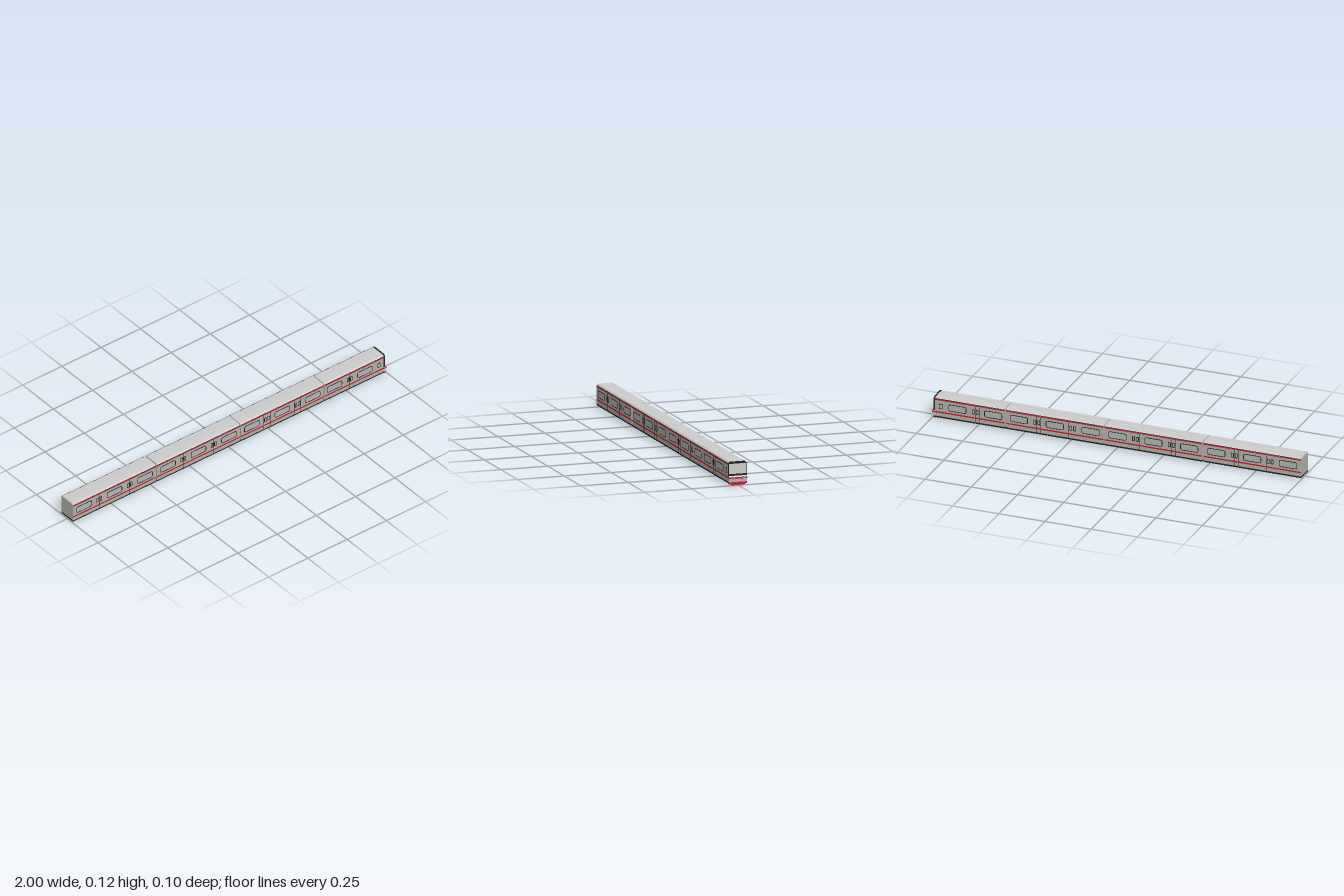
import * as THREE from 'three';

const material = (color) => new THREE.MeshStandardMaterial({ color, flatShading: true });
const grey = material(0xcccccc), wall = material(0xb4b1a8), glass = material(0xb4b6b4);
const dark = material(0x222222), red = material(0xcc1833);

function add(parent, name, geometry, mat) {
  const mesh = new THREE.Mesh(geometry, mat);
  mesh.name = name;
  parent.add(mesh);
  return mesh;
}

function box(parent, name, mat, x0, x1, y0, y1, z0, z1) {
  const mesh = add(parent, name, new THREE.BoxGeometry(x1 - x0, y1 - y0, z1 - z0), mat);
  mesh.position.set((x0 + x1) / 2, (y0 + y1) / 2, (z0 + z1) / 2);
  return mesh;
}

// Symmetric cross-section, given as half-outline [z, y] pairs, swept from x0 to x1
function section(parent, name, mat, half, x0, x1) {
  const outline = [...half, ...half.map(([z, y]) => [-z, y]).reverse()];
  const shape = new THREE.Shape(outline.map(([z, y]) => new THREE.Vector2(z, y)));
  const geo = new THREE.ExtrudeGeometry(shape, { depth: x1 - x0, bevelEnabled: false });
  geo.rotateY(Math.PI / 2).translate(x0, 0, 0);
  return add(parent, name, geo, mat);
}

// Side profile [x, y], swept across the width
function crossSweep(parent, name, mat, profile, width) {
  const shape = new THREE.Shape(profile.map(([x, y]) => new THREE.Vector2(x, y)));
  const geo = new THREE.ExtrudeGeometry(shape, { depth: width, bevelEnabled: false });
  return add(parent, name, geo.translate(0, 0, -width / 2), mat);
}

function roundedRect(w, h, r) {
  const s = new THREE.Shape(), a = w / 2, b = h / 2;
  s.moveTo(-a + r, -b).lineTo(a - r, -b).quadraticCurveTo(a, -b, a, -b + r);
  s.lineTo(a, b - r).quadraticCurveTo(a, b, a - r, b).lineTo(-a + r, b);
  s.quadraticCurveTo(-a, b, -a, b - r).lineTo(-a, -b + r).quadraticCurveTo(-a, -b, -a + r, -b);
  return s;
}

// Pane with a dark seal around it, on both side walls
function addWindow(parent, name, x, y, w, h, r) {
  const seal = roundedRect(w, h, r);
  seal.holes.push(roundedRect(w - 0.007, h - 0.007, r * 0.7));
  const options = { depth: 0.0008, bevelEnabled: false, curveSegments: 4 };
  for (const side of [1, -1]) {
    const group = new THREE.Group();
    group.name = name;
    group.position.set(x, y, side * 0.0475);
    if (side < 0) group.rotation.y = Math.PI;
    add(group, 'windowSeal', new THREE.ExtrudeGeometry(seal, options), dark);
    add(group, 'windowPane', new THREE.ShapeGeometry(roundedRect(w - 0.006, h - 0.006, r * 0.7), 4), glass)
      .position.z = 0.0004;
    parent.add(group);
  }
}

function carriage(name, x0, x1, windows, doors) {
  const car = new THREE.Group();
  car.name = name;
  section(car, 'body', wall, [[0.0475, 0.017], [0.0475, 0.111]], x0, x1);
  section(car, 'roof', grey, [[0.0475, 0.111], [0.04, 0.119], [0, 0.12]], x0, x1);
  section(car, 'underframe', dark, [[0.045, 0.008], [0.048, 0.011], [0.048, 0.017]], x0, x1);
  for (const s of [1, -1]) {
    const strip = (label, mat, y0, y1) => {
      box(car, label, mat, x0, x1, y0, y1, s * 0.0477 - 0.0004, s * 0.0477 + 0.0004);
    };
    strip('gutter', dark, 0.1105, 0.113);
    strip('upperStripe', red, 0.104, 0.1095);
    strip('lowerStripe', red, 0.036, 0.043);
    // Door leaf seams
    for (const d of doors) for (const dx of [-0.021, 0, 0.021]) {
      box(car, 'doorSeam', dark, x0 + d + dx - 0.0005, x0 + d + dx + 0.0005, 0.018, 0.103,
        s * 0.0476 - 0.0003, s * 0.0476 + 0.0003);
    }
  }
  for (const w of windows) addWindow(car, 'sideWindow', x0 + w, 0.072, 0.098, 0.038, 0.012);
  for (const d of doors) for (const dx of [-0.0105, 0.0105]) {
    addWindow(car, 'doorWindow', x0 + d + dx, 0.072, 0.015, 0.026, 0.003);
  }
  return car;
}

function cab() {
  const g = new THREE.Group();
  g.name = 'cab';
  // Dark surround with the windscreen set on its face
  section(g, 'cabSurround', dark,
    [[0.048, 0.046], [0.048, 0.111], [0.04, 0.12]], 0.98, 0.989);
  box(g, 'windscreen', grey, 0.988, 0.9905, 0.058, 0.11, -0.046, 0.046);
  // Lower nose, red bumper band and tapered skirt
  crossSweep(g, 'lowerNose', grey,
    [[0.975, 0.015], [0.99, 0.015], [0.996, 0.036], [0.99, 0.048], [0.975, 0.048]], 0.095);
  box(g, 'noseStripe', red, 0.978, 0.998, 0.034, 0.041, -0.048, 0.048);
  section(g, 'skirt', red, [[0.03, 0], [0.048, 0.007], [0.048, 0.016]], 0.981, 0.991);
  for (const z of [-0.029, 0.029]) {
    const ring = add(g, 'headlightRim', new THREE.CylinderGeometry(0.0058, 0.0058, 0.008, 16), dark);
    const lamp = add(g, 'headlight', new THREE.CylinderGeometry(0.0045, 0.0045, 0.008, 16), grey);
    ring.rotation.z = lamp.rotation.z = -Math.PI / 2;
    ring.position.set(0.9952, 0.038, z);
    lamp.position.set(0.996, 0.038, z);
  }
  addWindow(g, 'cabWindow', 0.95, 0.072, 0.02, 0.028, 0.003);
  return g;
}

export function createModel() {
  const train = new THREE.Group();
  train.name = 'train';
  const windows = [0.07, 0.264, 0.458], doors = [0.167, 0.361];
  [[-1, -0.473], [-0.465, 0.063], [0.069, 0.597]].forEach(([a, b], i) => {
    train.add(carriage('carriage' + (i + 1), a, b, windows, doors));
  });
  // Leading car is shorter and carries the cab
  const lead = carriage('leadCar', 0.603, 0.983, [0.063, 0.257], [0.16]);
  lead.add(cab());
  train.add(lead);
  return train;
}
